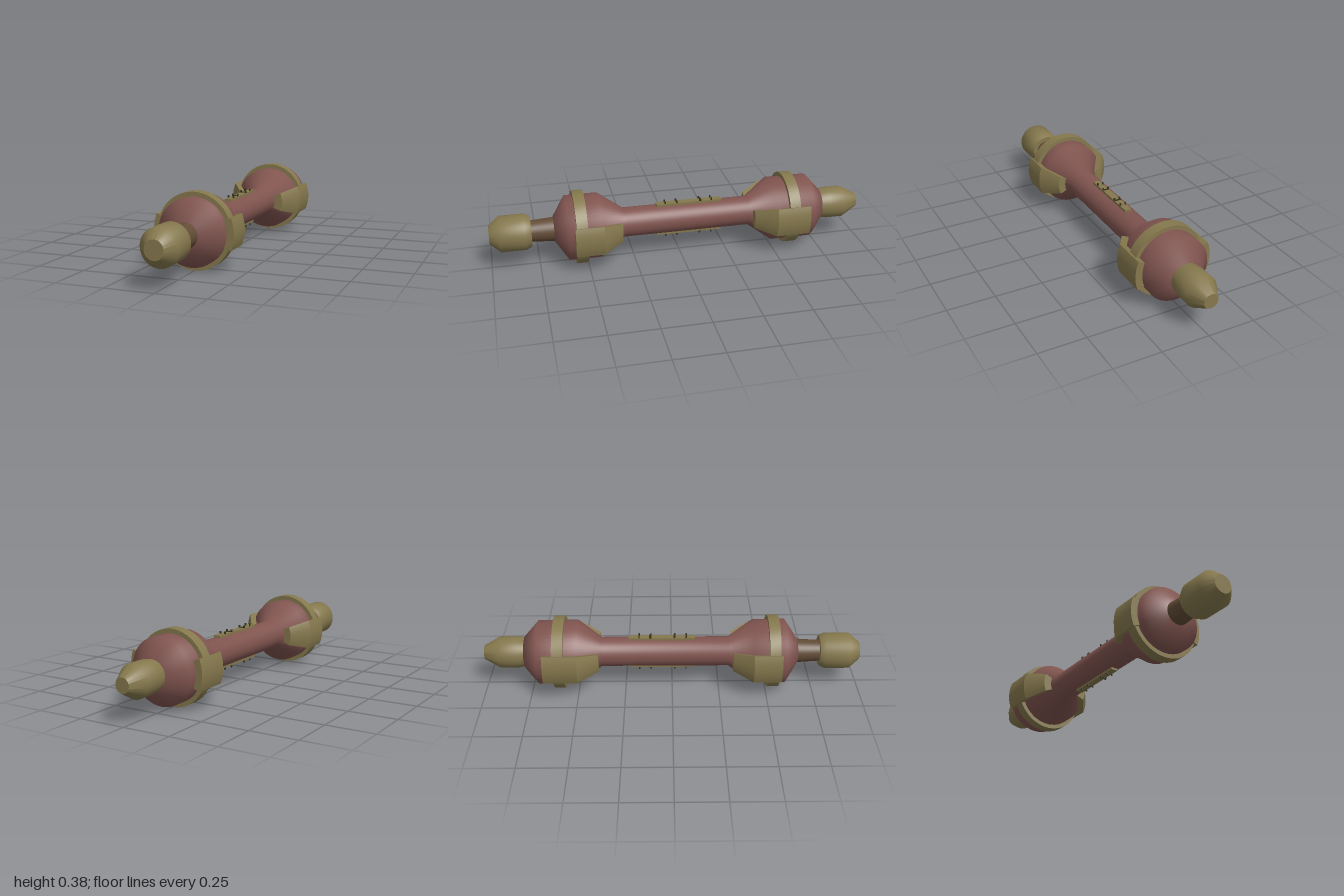
import * as THREE from 'three';
import { mergeGeometries, toCreasedNormals } from 'three/addons/utils/BufferGeometryUtils.js';

const AXIS_Y = 0.193;
const SEGMENTS = 48;

function makeMaterial(name, color, side = THREE.FrontSide) {
  const m = new THREE.MeshStandardMaterial({ color, side });
  m.name = name;
  return m;
}

const toPoints = (list) => list.map(([r, z]) => new THREE.Vector2(r, z));

// Solid of revolution around the z axis from [radius, z] pairs with z rising
function turned(profile, crease) {
  const geo = new THREE.LatheGeometry(toPoints(profile), SEGMENTS);
  geo.rotateX(Math.PI / 2);
  return crease ? toCreasedNormals(geo, crease) : geo;
}

// 45 degree slice of a turned profile, closed at both ends, facing +x
function guardSector(profile) {
  const half = Math.PI / 8;
  const closed = [...profile, profile[0]];
  const parts = [new THREE.LatheGeometry(toPoints(closed), 10, Math.PI / 2 - half, half * 2)];
  for (const angle of [-half, half]) {
    const cap = new THREE.ShapeGeometry(new THREE.Shape(toPoints(profile)));
    cap.rotateY(angle);
    parts.push(cap);
  }
  const geo = mergeGeometries(parts);
  geo.rotateX(Math.PI / 2);
  return toCreasedNormals(geo, 0.4);
}

export function createModel() {
  const model = new THREE.Group();
  model.name = 'doubleEndedHandle';
  model.position.y = AXIS_Y;
  const root = new THREE.Group();
  root.add(model);

  const red = makeMaterial('dull red', 0x80544f);
  const brass = makeMaterial('aged brass', 0x85784d, THREE.DoubleSide);
  const brown = makeMaterial('dark brown', 0x634c36);
  const dark = makeMaterial('dark pin', 0x38321f);

  function add(name, geo, mat, parent = model) {
    const mesh = new THREE.Mesh(geo, mat);
    mesh.name = name;
    parent.add(mesh);
    return mesh;
  }

  // Shaft with a bulge near each end
  add('body', turned([
    [0, -0.785], [0.085, -0.785], [0.17, -0.71], [0.17, -0.5], [0.078, -0.375],
    [0.078, 0.3], [0.17, 0.43], [0.17, 0.6], [0.065, 0.668], [0, 0.668],
  ]), red);

  // Front neck and end caps
  add('frontNeck', turned([[0.064, 0.65], [0.055, 0.8]]), brown);
  add('frontCap', turned([
    [0, 0.785], [0.08, 0.785], [0.095, 0.815], [0.095, 0.945], [0.048, 1], [0, 1],
  ], 0.85), brass);
  add('rearCap', turned([
    [0, -1], [0.038, -1], [0.085, -0.915], [0.085, -0.83], [0.077, -0.78], [0, -0.78],
  ], 0.85), brass);

  // Bands around the bulges
  for (const [name, z0, z1] of [['frontBand', 0.505, 0.563], ['rearBand', -0.625, -0.567]]) {
    add(name, turned([
      [0.16, z0], [0.192, z0], [0.192, z1], [0.16, z1], [0.16, z0],
    ], 0.6), brass);
  }

  // Side guards that taper towards the middle of the shaft
  const frontGuard = guardSector([
    [0.095, 0.32], [0.133, 0.32], [0.207, 0.425], [0.207, 0.572], [0.165, 0.572], [0.165, 0.43],
  ]);
  const rearGuard = guardSector([
    [0.165, -0.675], [0.207, -0.675], [0.207, -0.495], [0.133, -0.388], [0.09, -0.388], [0.165, -0.5],
  ]);
  for (const [side, turn] of [['left', 0], ['right', Math.PI]]) {
    add(side + 'FrontGuard', frontGuard, brass).rotation.z = turn;
    add(side + 'RearGuard', rearGuard, brass).rotation.z = turn;
  }

  // Narrow plates with pins, above and below the shaft
  for (const [side, turn] of [['upper', 0], ['lower', Math.PI]]) {
    const strip = new THREE.Group();
    strip.name = side + 'Strip';
    strip.rotation.z = turn;
    model.add(strip);
    const plate = add('plate', new THREE.BoxGeometry(0.036, 0.018, 0.352), brass, strip);
    plate.position.set(0, 0.08, -0.054);
    for (const z of [-0.119, 0.011]) {
      const bar = add('crossBar', new THREE.BoxGeometry(0.034, 0.005, 0.008), dark, strip);
      bar.position.set(0, 0.09, z);
    }
    for (const z of [-0.175, -0.112, 0.014, 0.075]) {
      for (const x of [-0.014, 0.014]) {
        const pin = add('pin', new THREE.BoxGeometry(0.007, 0.02, 0.007), dark, strip);
        pin.position.set(x, 0.091, z);
      }
    }
  }

  return root;
}
